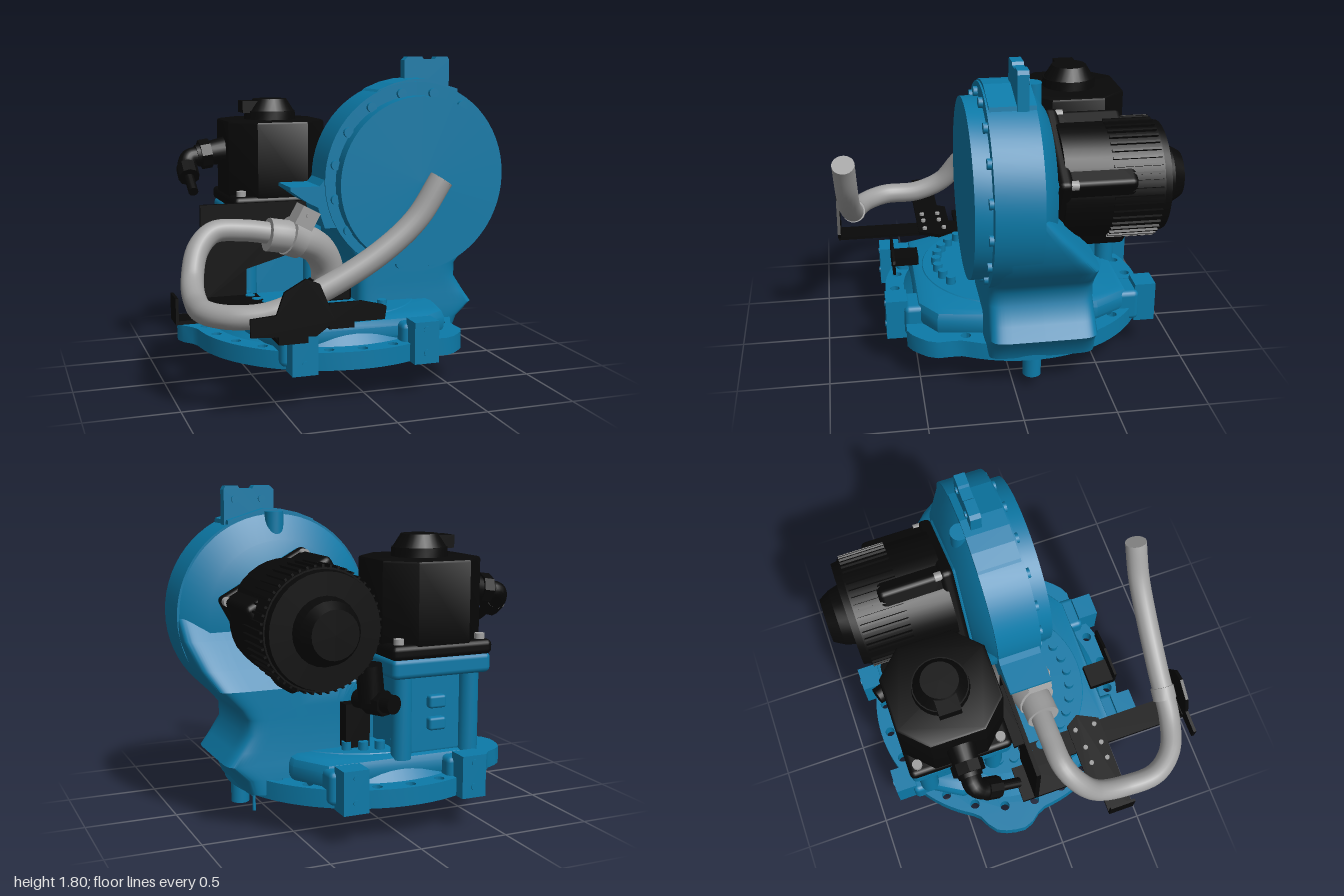
import * as THREE from 'three';
import { toCreasedNormals } from 'three/addons/utils/BufferGeometryUtils.js';
import { RoundedBoxGeometry } from 'three/addons/geometries/RoundedBoxGeometry.js';

const mat = (color) => new THREE.MeshStandardMaterial({ color, side: THREE.DoubleSide });
const BLUE = mat(0x0c7aa8), BLACK = mat(0x080808), GREY = mat(0xa0a0a0);
const V = (p) => new THREE.Vector3(...p);
const outline = (pts) => new THREE.Shape(pts.map((p) => new THREE.Vector2(...p)));

function add(parent, name, geo, material, pos = [0, 0, 0]) {
  const m = new THREE.Mesh(geo, material);
  m.name = name;
  m.position.set(...pos);
  parent.add(m);
  return m;
}
// Box given by its limits on each axis
function box(parent, name, material, [x0, x1], [y0, y1], [z0, z1], round = 0) {
  const s = [x1 - x0, y1 - y0, z1 - z0];
  const geo = round ? new RoundedBoxGeometry(...s, 2, round) : new THREE.BoxGeometry(...s);
  return add(parent, name, geo, material, [(x0 + x1) / 2, (y0 + y1) / 2, (z0 + z1) / 2]);
}
// Cylinder or cone between two points
function rod(parent, name, material, a, b, r0, r1 = r0, seg = 20) {
  const A = V(a), B = V(b), d = B.clone().sub(A);
  const geo = toCreasedNormals(new THREE.CylinderGeometry(r1, r0, d.length(), seg), 0.6);
  const m = add(parent, name, geo, material, A.clone().add(B).multiplyScalar(0.5).toArray());
  m.quaternion.setFromUnitVectors(new THREE.Vector3(0, 1, 0), d.normalize());
  return m;
}
// Upright extrusion of a plan outline; shape y stands for -z
function slab(parent, name, material, shape, y0, y1, bevel = 0) {
  const geo = new THREE.ExtrudeGeometry(shape, {
    depth: y1 - y0 - 2 * bevel, bevelEnabled: bevel > 0, bevelSize: bevel, bevelThickness: bevel,
    bevelOffset: -bevel, bevelSegments: 2, curveSegments: 16,
  });
  geo.rotateX(-Math.PI / 2);
  return add(parent, name, toCreasedNormals(geo, 0.6), material, [0, y0 + bevel, 0]);
}
// Extrusion of a front outline from z0 to z1
function panel(parent, name, material, pts, z0, z1) {
  return add(parent, name, new THREE.ExtrudeGeometry(outline(pts), { depth: z1 - z0, bevelEnabled: false }), material, [0, 0, z0]);
}
// Tube with closed ends
function tube(parent, name, material, pts, r, seg = 64) {
  const curve = new THREE.CatmullRomCurve3(pts.map(V));
  add(parent, name, new THREE.TubeGeometry(curve, seg, r, 20), material);
  for (const t of [0, 1]) {
    const p = curve.getPoint(t), d = curve.getTangent(t).multiplyScalar(0.002);
    rod(parent, name + 'End', material, p.clone().sub(d).toArray(), p.clone().add(d).toArray(), r);
  }
}
// Loft of rounded-rectangle sections [y, x0, x1, z0, z1]
function loft(sections, n = 64, power = 9) {
  const pos = [], idx = [];
  const blunt = (v) => Math.sign(v) * Math.abs(v) ** (2 / power);
  for (const [y, x0, x1, z0, z1] of sections)
    for (let j = 0; j < n; j++) {
      const t = (j / n) * Math.PI * 2;
      pos.push((x0 + x1) / 2 + blunt(Math.cos(t)) * (x1 - x0) / 2, y, (z0 + z1) / 2 + blunt(Math.sin(t)) * (z1 - z0) / 2);
    }
  for (let i = 0; i < sections.length - 1; i++)
    for (let j = 0; j < n; j++) {
      const a = i * n + j, b = i * n + (j + 1) % n;
      idx.push(a, a + n, b, b, a + n, b + n);
    }
  const top = (sections.length - 1) * n;
  for (let j = 1; j < n - 1; j++) idx.push(top, top + j + 1, top + j, 0, j, j + 1);
  const geo = new THREE.BufferGeometry();
  geo.setAttribute('position', new THREE.Float32BufferAttribute(pos, 3));
  geo.setIndex(idx);
  return toCreasedNormals(geo, 0.7);
}
const polar = (cx, cy, r, a) => [cx + r * Math.cos(a), cy + r * Math.sin(a)];
const TAU = Math.PI * 2;

function makeBase(g) {
  const cx = -0.04, cz = -0.1;
  // rim plate with side lobes and bolt holes
  const pts = [];
  for (let i = 0; i < 96; i++) {
    const a = (i / 96) * TAU;
    let r = 0.755;
    for (const l of [-0.79, 2.92]) r += 0.095 * Math.exp(-((Math.atan2(Math.sin(a - l), Math.cos(a - l)) / 0.2) ** 4));
    pts.push(polar(cx, -cz, r, a));
  }
  const rim = outline(pts);
  for (let i = 0; i < 24; i++)
    rim.holes.push(new THREE.Path().absarc(...polar(cx, -cz, 0.7, i / 24 * TAU), 0.028, 0, TAU, true));
  slab(g, 'baseRim', BLUE, rim, 0.182, 0.28);
  rod(g, 'bottomDisc', BLUE, [cx, 0.18, cz], [cx, 0.21, cz], 0.665, 0.665, 64);
  rod(g, 'baseDeck', BLUE, [cx, 0.27, cz], [cx, 0.41, cz], 0.655, 0.53, 64);
  // raised aprons running out towards the feet
  slab(g, 'frontApron', BLUE, outline([[-0.58, 0.1], [-0.58, -0.2], [-0.45, -0.5], [0.37, -0.5], [0.52, -0.4], [0.57, -0.1], [0.57, 0.1]]), 0.25, 0.405, 0.05);
  slab(g, 'rearApron', BLUE, outline([[-0.58, 0.3], [0.5, 0.3], [0.5, 0.5], [0.38, 0.7], [-0.46, 0.7], [-0.58, 0.5]]), 0.25, 0.405, 0.05);
  // four foot pads with bolt heads
  for (const [x0, x1] of [[-0.45, -0.31], [0.23, 0.37]])
    for (const s of [-1, 1]) {
      const zs = [cz + s * 0.36, cz + s * 0.67].sort((a, b) => a - b);
      const ze = [cz + s * 0.65, cz + s * 0.77].sort((a, b) => a - b);
      box(g, 'footRib', BLUE, [x0 - 0.03, x1 + 0.03], [0.2, 0.38], zs, 0.03);
      box(g, 'footPad', BLUE, [x0, x1], [0.18, 0.41], ze);
      for (const y of [0.24, 0.37]) rod(g, 'footBolt', BLUE, [(x0 + x1) / 2, y, cz + s * 0.76], [(x0 + x1) / 2, y, cz + s * 0.775], 0.018);
    }
  // ring of gear bolts
  for (let i = 0; i < 22; i++) {
    const [x, z] = polar(cx, cz, 0.45, 1.04 + i * 0.2);
    rod(g, 'deckBolt', BLUE, [x, 0.4, z], [x, 0.455, z], 0.028, 0.028, 12);
  }
  // stops under the base
  rod(g, 'stopPost', BLUE, [0.66, 0.07, -0.1], [0.66, 0.22, -0.1], 0.05);
  rod(g, 'stopPin', BLUE, [0.58, 0, -0.1], [0.58, 0.22, -0.1], 0.009);
  rod(g, 'stopPinSleeve', BLUE, [0.58, 0.09, -0.1], [0.58, 0.22, -0.1], 0.018);
}

function makeHousing(g) {
  const x = 0.445, y = 1.115;
  add(g, 'column', loft([
    [0.2, 0.1, 0.71, -0.45, 0.15], [0.28, 0.1, 0.74, -0.45, 0.155], [0.36, 0.1, 0.83, -0.44, 0.155],
    [0.43, 0.1, 0.78, -0.435, 0.15], [0.52, 0.1, 0.72, -0.43, 0.15], [0.6, 0.1, 0.72, -0.43, 0.15], [0.66, 0.08, 0.77, -0.43, 0.15],
    [0.76, 0.02, 0.87, -0.43, 0.15], [0.86, -0.03, 0.93, -0.345, 0.15], [1.0, -0.08, 0.98, -0.225, 0.15],
    [1.14, -0.095, 0.99, -0.1, 0.15]]), BLUE);
  rod(g, 'housingDrum', BLUE, [x, y, -0.1], [x, y, 0.15], 0.547, 0.547, 64);
  rod(g, 'housingBack', BLUE, [x, y, -0.19], [x, y, -0.1], 0.4, 0.535, 64);
  rod(g, 'frontCover', BLUE, [x, y - 0.015, 0.14], [x, y - 0.015, 0.24], 0.485, 0.485, 64);
  for (let i = 0; i < 16; i++) {
    const [bx, by] = polar(x, y - 0.005, 0.497, (i + 0.5) / 16 * TAU);
    rod(g, 'coverBolt', BLUE, [bx, by, 0.14], [bx, by, 0.172], 0.028, 0.028, 12);
  }
  // lifting lug on top, on a foot that blends into the drum
  panel(g, 'lugFoot', BLUE, [[0.15, 1.55], [0.22, 1.62], [0.31, 1.655], [0.4, 1.675], [0.5, 1.68], [0.7, 1.62], [0.71, 1.55], [0.45, 1.45]], -0.1, 0.14);
  panel(g, 'liftingLug', BLUE, [[0.43, 1.55], [0.71, 1.55], [0.71, 1.78], [0.7, 1.8], [0.63, 1.8], [0.62, 1.785], [0.55, 1.785], [0.54, 1.8], [0.45, 1.8], [0.43, 1.78]], -0.06, 0);
  for (const lx of [0.5, 0.65]) rod(g, 'lugBolt', BLUE, [lx, 1.73, -0.07], [lx, 1.73, 0], 0.02);
  rod(g, 'backBoss', BLUE, [0.45, 1.44, -0.12], [0.45, 1.665, -0.12], 0.05);
  // side arm carrying the cable hose
  panel(g, 'sideArm', BLUE, [[-0.3, 1.09], [-0.3, 1.07], [-0.2, 1.0], [-0.14, 0.97], [-0.1, 0.85], [0.05, 0.85], [0.05, 1.22], [-0.08, 1.15], [-0.13, 1.09]], -0.1, 0.14);
}

function makeRearMotor(g) {
  const m = new THREE.Group();
  m.name = 'rearMotor';
  m.position.set(0.44, 1.115, 0);
  m.rotation.z = -0.5;
  g.add(m);
  box(m, 'motorSeat', BLUE, [-0.27, 0.27], [-0.27, 0.27], [-0.21, -0.1], 0.03);
  box(m, 'motorFlange', BLACK, [-0.275, 0.275], [-0.275, 0.275], [-0.28, -0.2], 0.03);
  box(m, 'motorBody', BLACK, [-0.262, 0.262], [-0.262, 0.262], [-0.62, -0.25], 0.03);
  rod(m, 'motorBarrel', BLACK, [0, 0, -0.25], [0, 0, -0.77], 0.312, 0.312, 36);
  rod(m, 'motorRear', BLACK, [0, 0, -0.76], [0, 0, -0.81], 0.305, 0.295, 36);
  rod(m, 'motorCap', BLACK, [0, 0, -0.8], [0, 0, -0.87], 0.18, 0.16, 24);
  rod(m, 'motorCapEnd', BLACK, [0, 0, -0.87], [0, 0, -0.93], 0.16, 0.125, 24);
  for (let i = 0; i < 48; i++) {
    const f = box(m, 'coolingFin', BLACK, [0, 0.025], [0, 0.012], [-0.76, -0.5]);
    const [fx, fy] = polar(0, 0, 0.313, i / 48 * TAU);
    f.position.set(fx, fy, -0.63);
    f.rotation.z = i / 48 * TAU;
  }
  for (const sx of [-1, 1]) for (const sy of [-1, 1]) rod(m, 'motorScrew', GREY, [sx * 0.245, sy * 0.245, -0.26], [sx * 0.245, sy * 0.245, -0.305], 0.025);
  // cable plug
  rod(g, 'plugBody', BLACK, [0.14, 0.9, -0.66], [0.12, 0.71, -0.66], 0.07);
  rod(g, 'plugElbow', BLACK, [0.15, 0.7, -0.55], [0.06, 0.71, -0.8], 0.05);
  rod(g, 'plugNut', BLACK, [0.12, 0.7, -0.63], [0.08, 0.705, -0.74], 0.068, 0.068, 8);
}

function makeUprightMotor(g) {
  const x = -0.25, z = -0.465;
  // pedestal with corner posts
  box(g, 'pedestal', BLUE, [x - 0.2, x + 0.2], [0.38, 0.88], [z - 0.2, z + 0.2], 0.03);
  for (const sx of [-1, 1]) for (const sz of [-1, 1]) {
    rod(g, 'pedestalPost', BLUE, [x + sx * 0.2, 0.38, z + sz * 0.2], [x + sx * 0.2, 0.88, z + sz * 0.2], 0.055);
    rod(g, 'motorScrew', GREY, [x + sx * 0.24, 0.99, z + sz * 0.24], [x + sx * 0.24, 1.03, z + sz * 0.24], 0.027);
  }
  for (const y of [0.52, 0.64]) box(g, 'pedestalFitting', BLUE, [x - 0.05, x + 0.05], [y, y + 0.07], [z - 0.24, z - 0.18], 0.015);
  box(g, 'pedestalFlange', BLUE, [x - 0.29, x + 0.29], [0.82, 0.93], [z - 0.29, z + 0.29], 0.03);
  box(g, 'motorFlange', BLACK, [x - 0.295, x + 0.295], [0.92, 1.0], [z - 0.295, z + 0.295], 0.03);
  const h = 0.29, k = 0.15, oct = [[h, k], [k, h], [-k, h], [-h, k], [-h, -k], [-k, -h], [k, -h], [h, -k]];
  slab(g, 'motorBody', BLACK, outline(oct.map(([a, b]) => [x + a, -z + b])), 0.98, 1.43, 0.015);
  rod(g, 'motorCap', BLACK, [x, 1.42, z], [x, 1.48, z], 0.155, 0.15, 24);
  rod(g, 'motorCapTop', BLACK, [x, 1.47, z], [x, 1.55, z], 0.15, 0.1, 24);
  box(g, 'capTab', BLACK, [x - 0.18, x], [1.47, 1.54], [z - 0.06, z + 0.06]);
  // cable plug, its outlet angled down and forward
  rod(g, 'plugBody', BLACK, [-0.53, 1.25, -0.46], [-0.7, 1.22, -0.46], 0.08, 0.065);
  rod(g, 'plugNut', BLACK, [-0.62, 1.235, -0.46], [-0.68, 1.226, -0.46], 0.088, 0.088, 8);
  tube(g, 'plugElbow', BLACK, [[-0.68, 1.22, -0.46], [-0.74, 1.21, -0.46], [-0.765, 1.17, -0.43], [-0.77, 1.12, -0.36]], 0.055, 16);
  rod(g, 'plugCollar', BLACK, [-0.77, 1.16, -0.41], [-0.77, 1.11, -0.34], 0.062, 0.062, 10);
  rod(g, 'plugCable', BLACK, [-0.77, 1.12, -0.36], [-0.77, 1.04, -0.22], 0.028);
}

function makeHose(g) {
  tube(g, 'hose', GREY, [[0.28, 1.2, 0.86], [0.15, 1.0, 0.85], [-0.05, 0.83, 0.84], [-0.35, 0.66, 0.82], [-0.6, 0.56, 0.8], [-0.78, 0.54, 0.73], [-0.88, 0.54, 0.6], [-0.89, 0.545, 0.4], [-0.875, 0.62, 0.23], [-0.82, 0.77, 0.12], [-0.72, 0.85, 0.06], [-0.55, 0.85, 0.05], [-0.36, 0.82, 0.05]], 0.062, 110);
  tube(g, 'hoseSleeve', GREY, [[-0.41, 0.82, 0.06], [-0.26, 0.79, 0.05], [-0.11, 0.72, 0], [-0.03, 0.6, -0.05], [-0.02, 0.42, -0.07]], 0.095, 32);
  rod(g, 'hoseClamp', GREY, [-0.3, 0.81, 0.06], [-0.22, 0.78, 0.04], 0.112);
  const ear = box(g, 'clampEar', GREY, [-0.26, -0.15], [0.86, 0.97], [0.02, 0.16]);
  ear.rotation.z = -0.5;
  rod(g, 'earScrew', GREY, [-0.2, 0.93, 0.15], [-0.2, 0.93, 0.17], 0.015);
  rod(g, 'frontClamp', GREY, [-0.49, 0.6, 0.81], [-0.42, 0.63, 0.815], 0.07);
}

function makeBrackets(g) {
  // hose carrier: floor bar, cross plate and upturned ends
  panel(g, 'rearPanel', BLACK, [[-0.76, 0.42], [-0.5, 0.42], [-0.5, 0.6], [-0.14, 0.7], [-0.14, 0.98], [-0.76, 0.98]], -0.11, -0.085);
  box(g, 'panelLedge', BLACK, [-0.56, -0.2], [0.94, 0.97], [-0.17, -0.09]);
  box(g, 'floorPlate', BLACK, [-0.76, -0.55], [0.42, 0.45], [-0.18, 0.18]);
  box(g, 'carrierBar', BLACK, [-0.59, -0.44], [0.43, 0.45], [-0.1, 0.91]);
  slab(g, 'crossPlate', BLACK, outline([[-0.99, -0.42], [-0.43, -0.42], [-0.37, -0.3], [-0.42, -0.22], [-0.8, -0.22], [-0.83, -0.27], [-0.99, -0.27]]), 0.44, 0.46);
  box(g, 'sideUpturn', BLACK, [-1, -0.985], [0.44, 0.58], [0.27, 0.42]);
  panel(g, 'frontGuard', BLACK, [[-0.73, 0.48], [-0.4, 0.46], [-0.3, 0.53], [-0.38, 0.72], [-0.45, 0.75], [-0.56, 0.69], [-0.6, 0.58], [-0.73, 0.57]], 0.9, 0.918);
  box(g, 'guardFoot', BLACK, [-0.59, -0.44], [0.43, 0.5], [0.895, 0.915]);
  for (const [x, z] of [[-0.68, 0.28], [-0.58, 0.28], [-0.68, 0.38], [-0.58, 0.38], [-0.46, 0.26], [-0.46, 0.38]]) rod(g, 'plateScrew', GREY, [x, 0.45, z], [x, 0.475, z], 0.014, 0.014, 10);
  // saddle around the sleeve foot
  box(g, 'sleeveSaddle', BLACK, [-0.13, 0.09], [0.4, 0.52], [-0.12, 0.06], 0.02);
  // small angle bracket on the front of the deck
  box(g, 'angleFoot', BLACK, [-0.23, -0.09], [0.4, 0.45], [0.45, 0.61]);
  panel(g, 'angleFace', BLACK, [[-0.23, 0.43], [0.08, 0.43], [0.09, 0.5], [0.07, 0.51], [-0.05, 0.54], [-0.23, 0.54]], 0.595, 0.61);
  // angle bracket behind the column
  box(g, 'rearAngle', BLACK, [0.06, 0.2], [0.42, 0.66], [-0.51, -0.43]);
}

export function createModel() {
  const model = new THREE.Group();
  const parts = { base: makeBase, housing: makeHousing, rearMotorUnit: makeRearMotor, uprightMotorUnit: makeUprightMotor, hoseAssembly: makeHose, brackets: makeBrackets };
  for (const [name, build] of Object.entries(parts)) {
    const g = new THREE.Group();
    g.name = name;
    build(g);
    model.add(g);
  }
  return model;
}
